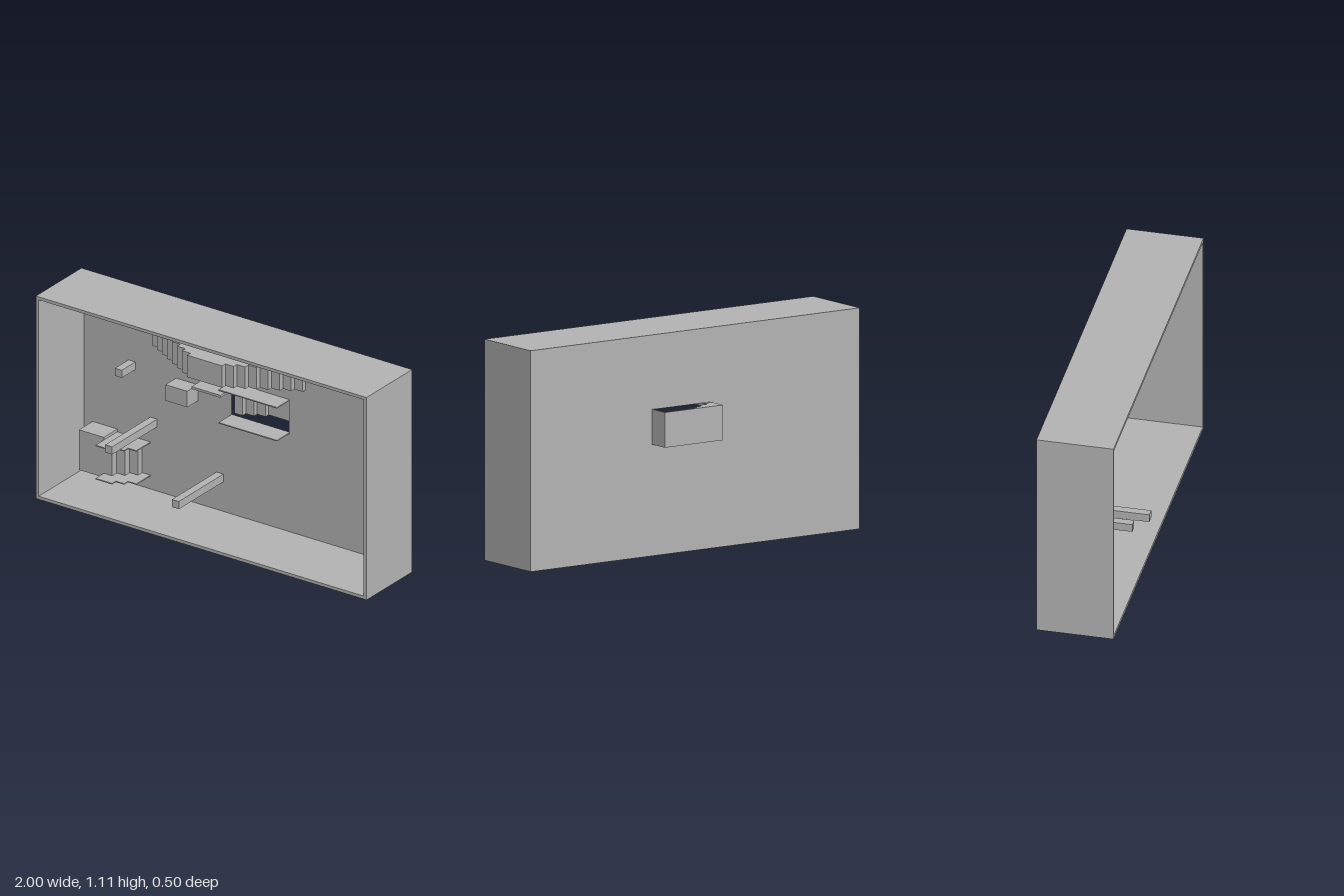
import * as THREE from 'three';

const BACK = -0.14, FRONT = 0.25, HEIGHT = 1.11;

export function createModel() {
  const model = new THREE.Group();
  const grey = new THREE.MeshStandardMaterial({ color: 0xb2b2b2 });
  grey.name = 'plain grey';

  // Box given by its lower and upper limits on each axis
  function block(name, x0, x1, y0, y1, z0, z1, parent = model) {
    const mesh = new THREE.Mesh(new THREE.BoxGeometry(x1 - x0, y1 - y0, z1 - z0), grey);
    mesh.position.set((x0 + x1) / 2, (y0 + y1) / 2, (z0 + z1) / 2);
    mesh.name = name;
    parent.add(mesh);
  }

  function group(name) {
    const g = new THREE.Group();
    g.name = name;
    model.add(g);
    return g;
  }

  // Flat outline in x and y with optional holes, given thickness along z
  function rectangle(Type, x0, x1, y0, y1) {
    const p = new Type();
    p.moveTo(x0, y0);
    p.lineTo(x1, y0);
    p.lineTo(x1, y1);
    p.lineTo(x0, y1);
    p.closePath();
    return p;
  }
  function panel(name, hole, z0, z1) {
    const shape = rectangle(THREE.Shape, -1, 1, 0, HEIGHT);
    shape.holes.push(hole);
    const geometry = new THREE.ExtrudeGeometry(shape, { depth: z1 - z0, bevelEnabled: false });
    geometry.translate(0, 0, z0);
    const mesh = new THREE.Mesh(geometry, grey);
    mesh.name = name;
    model.add(mesh);
  }

  // Open-fronted case and its back wall with a window
  panel('outerFrame', rectangle(THREE.Path, -0.983, 0.983, 0.017, HEIGHT - 0.017), BACK + 0.004, FRONT);
  panel('backWall', rectangle(THREE.Path, -0.09, 0.26, 0.56, 0.737), BACK, BACK + 0.004);

  // Alcove behind the window, open above and below, with upright steps
  const alcove = group('alcove');
  block('alcoveBack', -0.09, 0.262, 0.56, 0.737, -0.25, -0.241, alcove);
  block('alcoveSide', 0.256, 0.262, 0.56, 0.737, -0.241, BACK, alcove);
  [-0.16, -0.188, -0.215].forEach((z, i) =>
    block('alcoveStep', -0.09 + i * 0.05, -0.04 + i * 0.05, 0.56, 0.737, -0.241, z, alcove));

  // Thin ledges above and below the window
  for (const y of [0.558, 0.738]) {
    block('windowLedge', -0.09, 0.262, y - 0.003, y + 0.003, BACK, -0.027);
  }

  // Stepped bay: rises from both ends to a flat middle
  const bay = group('steppedBay');
  const rise = 0.0275, tread = 0.05;
  for (let i = 0; i < 7; i++) {
    const z = BACK + rise * (i + 1);
    const left = -0.555 + i * tread, right = 0.357 - i * tread;
    block('bayStepRight', left, left + tread, 0.82, 0.94, BACK, z, bay);
    block('bayStepLeft', right - tread, right, 0.82, 0.94, BACK, z, bay);
  }
  block('bayMiddle', -0.205, 0.007, 0.82, 0.94, BACK, 0.08, bay);

  // Lower corner: box, upright steps and stepped ledges
  const corner = group('cornerSteps');
  block('cornerBox', -0.93, -0.78, 0.07, 0.29, BACK, -0.02, corner);
  [-0.02, -0.06, -0.1].forEach((z, i) =>
    block('cornerStep', -0.78 + i * 0.05, -0.73 + i * 0.05, 0.09, 0.27, BACK, z, corner));
  for (const y of [0.09, 0.272]) {
    [[-0.78, -0.68, 0.05], [-0.68, -0.63, 0.018], [-0.63, -0.58, -0.015]].forEach(([x0, x1, z]) =>
      block('cornerLedge', x0, x1, y - 0.003, y + 0.003, BACK, z, corner));
  }

  // Square bars standing out from the wall: centre x, centre y, front z
  for (const [x, y, z] of [[-0.692, 0.667, -0.02], [-0.56, 0.39, 0.25], [-0.16, 0.2, 0.245]]) {
    block('squareBar', x - 0.021, x + 0.021, y - 0.021, y + 0.021, BACK, z);
  }

  // Wall box and shelf
  block('wallBox', -0.425, -0.293, 0.58, 0.668, BACK, -0.045);
  block('shelf', -0.235, -0.06, 0.715, 0.728, BACK, 0);

  return model;
}
